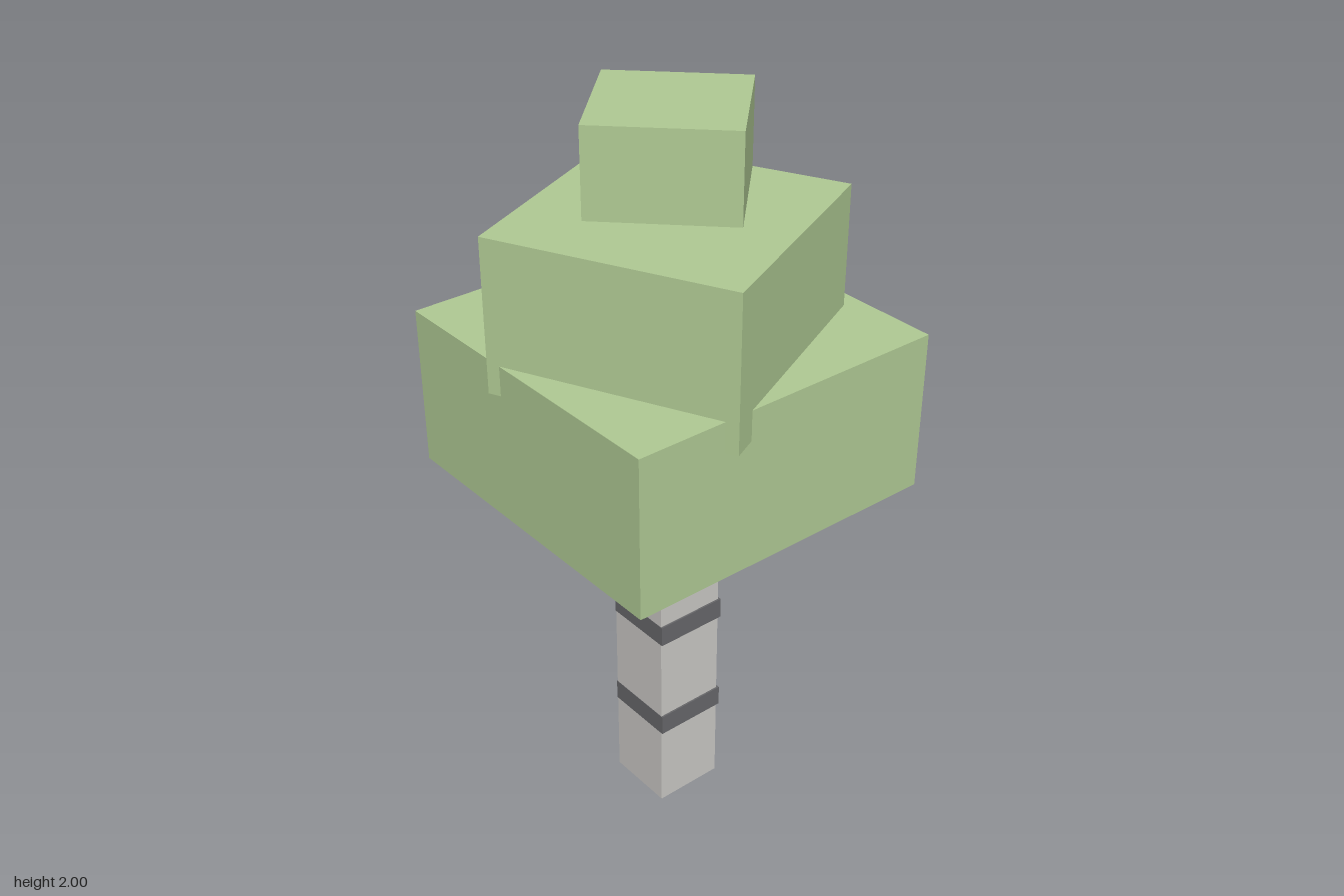
import * as THREE from 'three';

export function createModel() {
  const tree = new THREE.Group();
  tree.name = 'blockTree';

  const material = (name, color) => {
    const m = new THREE.MeshStandardMaterial({ color });
    m.name = name;
    return m;
  };
  const leaf = material('leaf green', 0xb0ca94);
  const bark = material('pale bark', 0xcac8c5);
  const mark = material('dark bark', 0x67676a);

  // Box between two heights, turned about the vertical axis
  const block = (name, mat, width, depth, y0, y1, x, z, degrees = 0) => {
    const mesh = new THREE.Mesh(new THREE.BoxGeometry(width, y1 - y0, depth), mat);
    mesh.name = name;
    mesh.position.set(x, (y0 + y1) / 2, z);
    mesh.rotation.y = THREE.MathUtils.degToRad(degrees);
    tree.add(mesh);
  };

  // Trunk, reaching a little into the foliage
  block('trunk', bark, 0.196, 0.198, 0, 1.05, -0.0175, -0.003);

  // Dark bands around the trunk
  [0.278, 0.588, 0.865].forEach((y, i) =>
    block(`barkBand${i + 1}`, mark, 0.203, 0.205, y - 0.03, y + 0.03, -0.016, -0.0055));

  // Three stacked foliage blocks, each turned further than the one below
  block('lowerFoliage', leaf, 0.891, 0.891, 1.02, 1.45, -0.016, -0.009);
  block('middleFoliage', leaf, 0.645, 0.645, 1.37, 1.772, 0.031, 0.022, 25);
  block('upperFoliage', leaf, 0.368, 0.368, 1.7, 2, -0.047, -0.039, 45);

  return tree;
}
